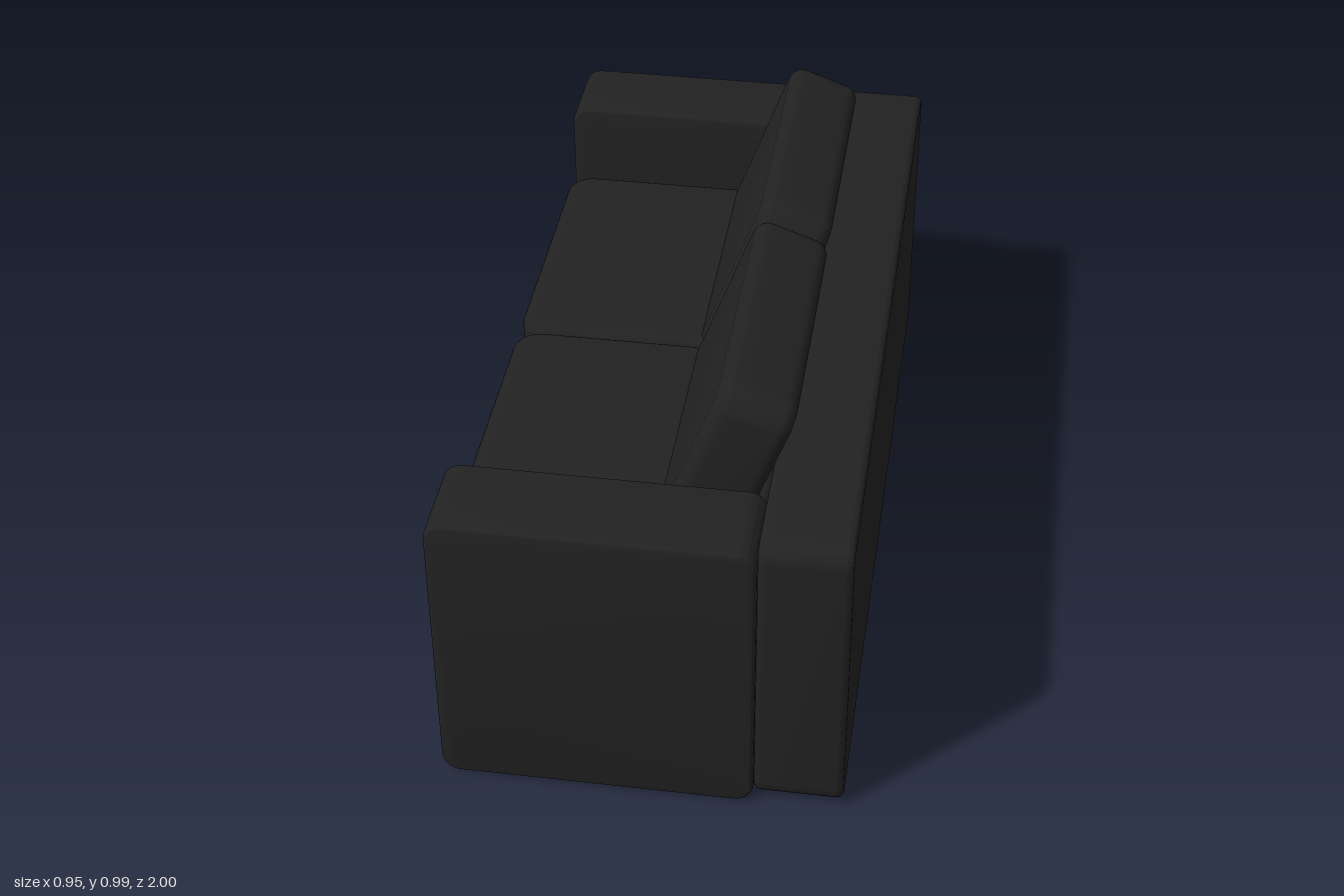
import * as THREE from 'three';
import { toCreasedNormals } from 'three/addons/utils/BufferGeometryUtils.js';
import { RoundedBoxGeometry } from 'three/addons/geometries/RoundedBoxGeometry.js';

// Rounded rectangle w x h with corner radius r, extruded to depth d along z, edges softened by b
function slab(w, h, d, r, b) {
  const x = w / 2 - b, y = h / 2 - b, q = Math.max(r - b, 0.004);
  const s = new THREE.Shape();
  s.absarc(x - q, y - q, q, 0, Math.PI / 2);
  s.absarc(-x + q, y - q, q, Math.PI / 2, Math.PI);
  s.absarc(-x + q, -y + q, q, Math.PI, Math.PI * 1.5);
  s.absarc(x - q, -y + q, q, Math.PI * 1.5, Math.PI * 2);
  s.closePath();
  const g = new THREE.ExtrudeGeometry(s, {
    depth: d - 2 * b, steps: 1, curveSegments: 6,
    bevelEnabled: true, bevelSize: b, bevelThickness: b, bevelSegments: 5,
  });
  g.translate(0, 0, -(d - 2 * b) / 2);
  return toCreasedNormals(g, 0.6);
}

export function createModel() {
  const sofa = new THREE.Group();
  sofa.name = 'sofa';
  const leather = new THREE.MeshStandardMaterial({ color: 0x222222 });
  leather.name = 'black leather';

  const add = (name, geometry, x, y, z) => {
    const mesh = new THREE.Mesh(geometry, leather);
    mesh.name = name;
    mesh.position.set(x, y, z);
    sofa.add(mesh);
    return mesh;
  };

  // Base under the seat
  add('base', new RoundedBoxGeometry(0.725, 0.405, 1.55, 4, 0.045), -0.107, 0.2025, 0);

  // Backrest panel across the full width
  add('backPanel', slab(1.97, 0.77, 0.21, 0.05, 0.018).rotateY(Math.PI / 2), 0.366, 0.391, 0);

  for (const side of [-1, 1]) {
    const label = side < 0 ? 'right' : 'left';

    // Box arm
    add(label + 'Arm', slab(0.737, 0.757, 0.225, 0.045, 0.014), -0.1065, 0.3815, side * 0.8875);

    // Seat cushion
    add(label + 'SeatCushion', slab(0.72, 0.737, 0.175, 0.07, 0.03).rotateX(Math.PI / 2),
      -0.115, 0.4875, side * 0.3695);

    // Leaning back cushion
    const cushion = add(label + 'BackCushion', slab(0.737, 0.5, 0.185, 0.07, 0.035).rotateY(Math.PI / 2),
      0.147, 0.729, side * 0.3695);
    cushion.rotation.z = -THREE.MathUtils.degToRad(20);
  }
  return sofa;
}
